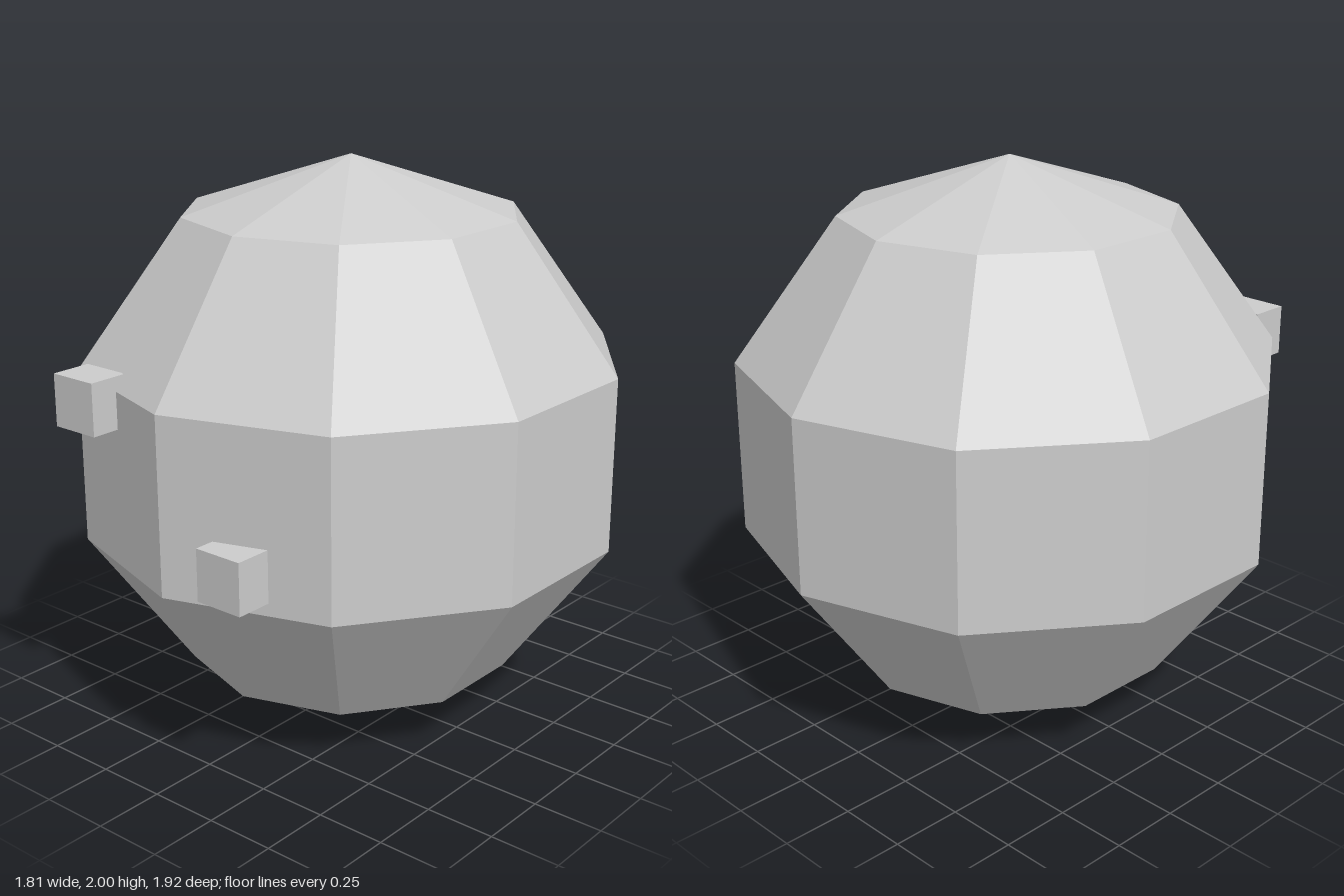
import * as THREE from 'three';

export function createModel() {
  const model = new THREE.Group();
  const grey = new THREE.MeshStandardMaterial({
    color: 0xcccccc, flatShading: true, side: THREE.DoubleSide,
  });
  grey.name = 'light grey';

  function add(name, geometry, x, y, z) {
    const mesh = new THREE.Mesh(geometry, grey);
    mesh.name = name;
    mesh.position.set(x, y, z);
    model.add(mesh);
  }

  // Unit sphere profile in five 36 degree steps, bottom to top
  const step = Math.PI / 5;
  const profile = [];
  for (let i = 0; i <= 5; i++) {
    profile.push(new THREE.Vector2(Math.sin(i * step), -Math.cos(i * step)));
  }
  profile[5].x = 0;

  // Ten-sided body, closed at the top
  add('body', new THREE.LatheGeometry(profile.slice(1), 10), 0, 1, -0.01);

  // Bottom cap with one of its ten facets open
  add('bottomCap', new THREE.LatheGeometry(profile.slice(0, 2), 9, -step, 9 * step), 0, 1, -0.01);

  // Two small blocks set into the front
  const block = new THREE.BoxGeometry(0.18, 0.18, 0.145);
  add('upperBlock', block, -0.36, 1.27, 0.883);
  add('lowerBlock', block, 0.267, 0.825, 0.883);

  return model;
}
